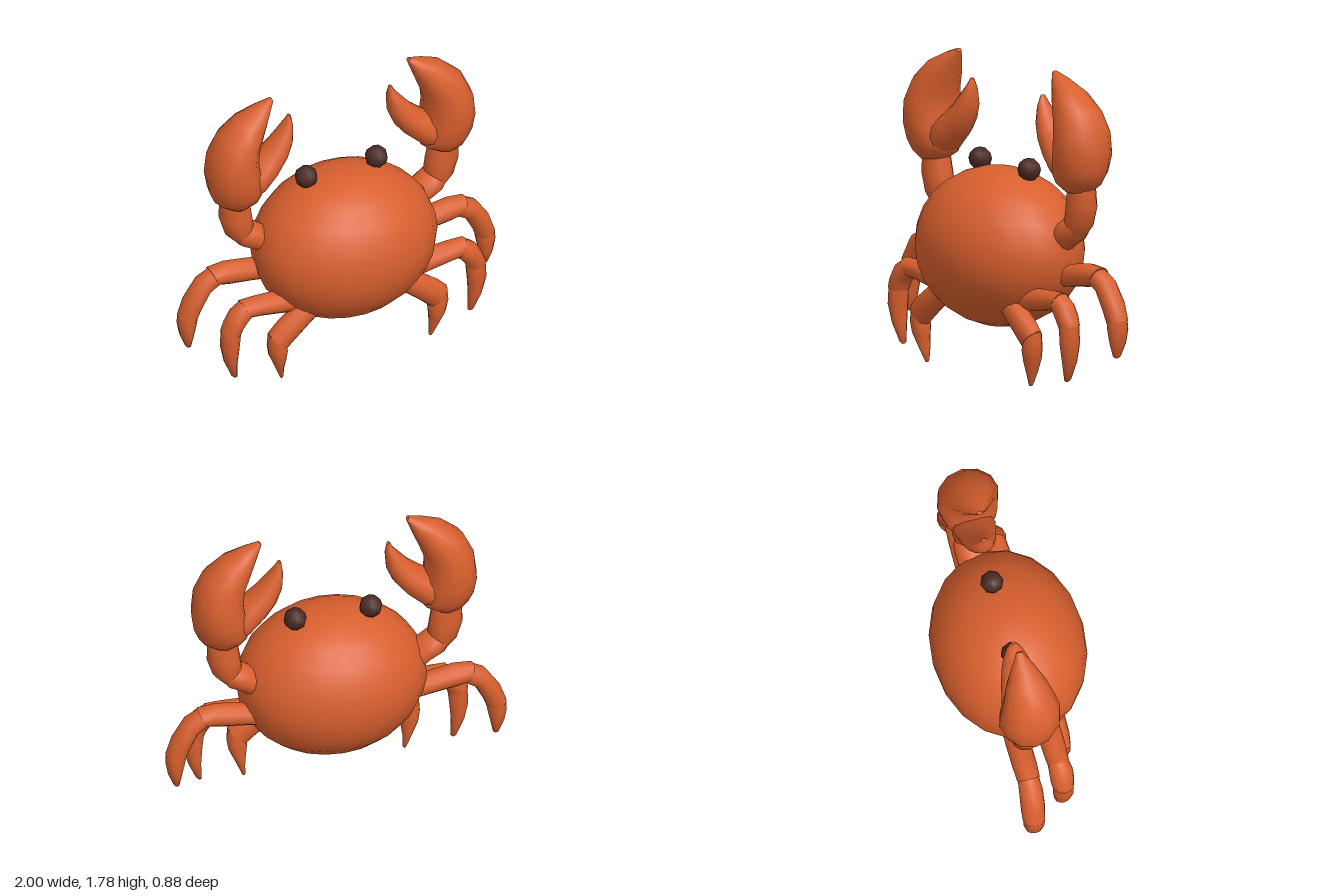
import * as THREE from 'three';
import { toCreasedNormals } from 'three/addons/utils/BufferGeometryUtils.js';

const SIDES = 12;

// Loft of elliptical rings. Station: [ax, ay, bx, by, z, halfDepth], where a and b
// are opposite edges of the ring as seen from the front. side = 1 or -1 mirrors x.
function loft(stations, side) {
  const pos = [], index = [];
  const mid = (s) => [side * (s[0] + s[2]) / 2, (s[1] + s[3]) / 2, s[4]];
  const first = mid(stations[0]), last = mid(stations[stations.length - 1]);
  const m = stations[1];
  const turn = Math.sign((m[3] - m[1]) * (last[0] - first[0]) - side * (m[2] - m[0]) * (last[1] - first[1]));
  for (const s of stations) {
    const c = mid(s);
    for (let j = 0; j < SIDES; j++) {
      const t = (j / SIDES) * Math.PI * 2, k = Math.cos(t) / 2;
      pos.push(c[0] + side * (s[2] - s[0]) * k, c[1] + (s[3] - s[1]) * k, c[2] + turn * Math.sin(t) * s[5]);
    }
  }
  const end = (stations.length - 1) * SIDES, cap = end + SIDES;
  pos.push(...first, ...last);
  for (let j = 0; j < SIDES; j++) {
    const n = (j + 1) % SIDES;
    for (let r = 0; r < end; r += SIDES) {
      index.push(r + j, r + n, r + SIDES + j, r + n, r + SIDES + n, r + SIDES + j);
    }
    index.push(cap, n, j, cap + 1, end + j, end + n);
  }
  const g = new THREE.BufferGeometry();
  g.setAttribute('position', new THREE.Float32BufferAttribute(pos, 3));
  g.setIndex(index);
  return toCreasedNormals(g, 0.95);
}

const claw = {
  upperArm: [
    [.40, .87, .46, .70, -.07, .08], [.50, .93, .555, .785, -.07, .093],
    [.55, .965, .635, .83, -.07, .093], [.585, .97, .665, .87, -.07, .075]],
  forearm: [
    [.56, .92, .66, .86, -.07, .07], [.545, .96, .715, .92, -.07, .085],
    [.555, 1.03, .75, 1.03, -.07, .088], [.575, 1.15, .745, 1.15, -.065, .08]],
  largePincer: [
    [.58, 1.13, .72, 1.12, -.055, .09], [.51, 1.17, .79, 1.17, -.055, .13],
    [.50, 1.22, .82, 1.24, -.055, .16], [.52, 1.31, .835, 1.34, -.055, .178],
    [.535, 1.42, .82, 1.47, -.052, .175], [.525, 1.50, .76, 1.60, -.05, .15],
    [.495, 1.58, .65, 1.70, -.05, .115], [.46, 1.67, .53, 1.755, -.05, .065],
    [.425, 1.765, .44, 1.785, -.05, .018]],
  smallPincer: [
    [.60, 1.14, .62, 1.34, -.055, .10], [.51, 1.18, .56, 1.38, -.055, .125],
    [.41, 1.275, .52, 1.41, -.055, .11], [.345, 1.36, .445, 1.475, -.055, .09],
    [.308, 1.45, .39, 1.54, -.055, .068], [.30, 1.55, .345, 1.595, -.055, .04],
    [.31, 1.625, .328, 1.63, -.055, .013]],
};

// Each leg is thigh, shin and foot; the front leg has only thigh and foot.
const legs = {
  rearLeg: {
    thigh: [
      [.40, .65, .40, .53, -.09, .065], [.55, .685, .55, .555, -.09, .07],
      [.70, .71, .70, .575, -.09, .07], [.81, .70, .765, .59, -.09, .065]],
    shin: [
      [.79, .70, .75, .585, -.09, .06], [.88, .65, .81, .55, -.092, .068],
      [.96, .53, .86, .455, -.097, .07], [.998, .42, .885, .39, -.10, .064]],
    foot: [
      [.995, .43, .88, .40, -.10, .06], [1, .37, .89, .35, -.10, .062],
      [.985, .29, .905, .28, -.10, .05], [.955, .215, .92, .205, -.10, .025],
      [.945, .2, .925, .2, -.10, .012]],
  },
  middleLeg: {
    thigh: [
      [.34, .55, .34, .40, .11, .065], [.50, .56, .48, .43, .11, .07],
      [.62, .565, .60, .45, .11, .068], [.71, .565, .665, .455, .11, .062]],
    shin: [
      [.70, .565, .645, .455, .11, .06], [.77, .52, .68, .43, .115, .068],
      [.81, .45, .705, .395, .115, .068], [.833, .39, .717, .365, .115, .062]],
    foot: [
      [.83, .40, .715, .37, .115, .058], [.835, .29, .725, .28, .115, .06],
      [.81, .18, .733, .17, .11, .045], [.765, .075, .73, .065, .105, .02],
      [.75, .06, .735, .06, .105, .01]],
  },
  frontLeg: {
    thigh: [
      [.27, .56, .17, .44, .15, .06], [.40, .46, .31, .345, .165, .066],
      [.51, .38, .41, .26, .17, .065], [.562, .325, .45, .22, .17, .06]],
    foot: [
      [.56, .33, .45, .23, .17, .055], [.567, .25, .447, .20, .17, .06],
      [.555, .18, .455, .14, .165, .055], [.515, .09, .463, .07, .155, .037],
      [.485, .015, .46, .01, .15, .015], [.478, 0, .465, 0, .15, .008]],
  },
};

export function createModel() {
  const shell = new THREE.MeshStandardMaterial({ color: 0xd85f2e });
  shell.name = 'orange shell';
  const dark = new THREE.MeshStandardMaterial({ color: 0x4a2a24 });
  dark.name = 'dark brown';

  const model = new THREE.Group();
  model.name = 'crab';
  const add = (parent, name, geometry, material) => {
    const mesh = new THREE.Mesh(geometry, material);
    mesh.name = name;
    parent.add(mesh);
    return mesh;
  };
  const addParts = (name, parts, side) => {
    const group = new THREE.Group();
    group.name = name;
    for (const [part, stations] of Object.entries(parts)) add(group, part, loft(stations, side), shell);
    model.add(group);
  };

  // Rounded egg-like body with a slightly flattened top
  const bodyGeo = new THREE.SphereGeometry(1, 20, 14);
  const p = bodyGeo.attributes.position;
  for (let i = 0; i < p.count; i++) {
    p.setY(i, Math.min(p.getY(i) * 1.015, 0.99));
  }
  bodyGeo.scale(0.55, 0.45, 0.44);
  bodyGeo.computeBoundingBox();
  const body = add(model, 'body', bodyGeo, shell);
  body.position.y = 0.72;

  for (const [side, label] of [[1, 'left'], [-1, 'right']]) {
    // Raised claws and three legs per side
    addParts(label + 'Claw', claw, side);
    for (const [name, parts] of Object.entries(legs)) {
      addParts(label + name[0].toUpperCase() + name.slice(1), parts, side);
    }
    // Bead eyes
    const eye = add(model, label + 'Eye', new THREE.SphereGeometry(0.067, 8, 6), dark);
    eye.position.set(side * 0.222, 1.185, -0.035);
  }
  return model;
}
